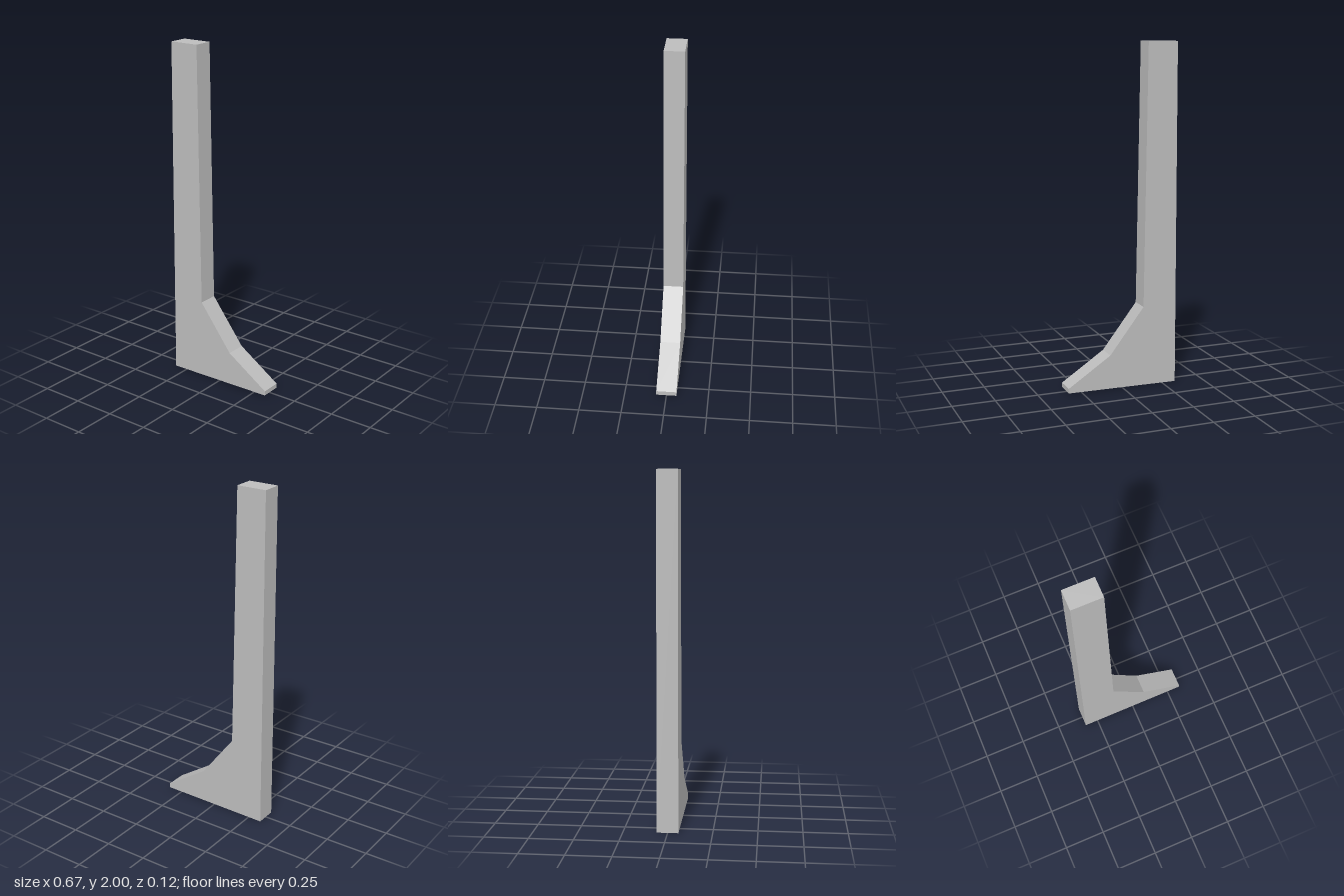
import * as THREE from 'three';

export function createModel() {
  const group = new THREE.Group();
  const grey = new THREE.MeshStandardMaterial({ color: 0xbcbcbc });
  grey.name = 'concrete grey';

  // Side profile: tall tapering post flaring into a sloped toe
  const profile = new THREE.Shape([
    [-0.333, 0], [0.333, 0.008], [0.333, 0.035], [0.077, 0.205],
    [-0.13, 0.475], [-0.155, 2], [-0.333, 2],
  ].map(([x, y]) => new THREE.Vector2(x, y)));

  const geometry = new THREE.ExtrudeGeometry(profile, { depth: 0.12, bevelEnabled: false });
  geometry.translate(0, 0, -0.061);

  // The front face leans back very slightly towards the top
  const pos = geometry.attributes.position;
  for (let i = 0; i < pos.count; i++) {
    if (pos.getZ(i) > 0) pos.setZ(i, 0.06 - 0.002 * pos.getY(i));
  }
  geometry.computeVertexNormals();

  const buttress = new THREE.Mesh(geometry, grey);
  buttress.name = 'buttress';
  group.add(buttress);
  return group;
}
